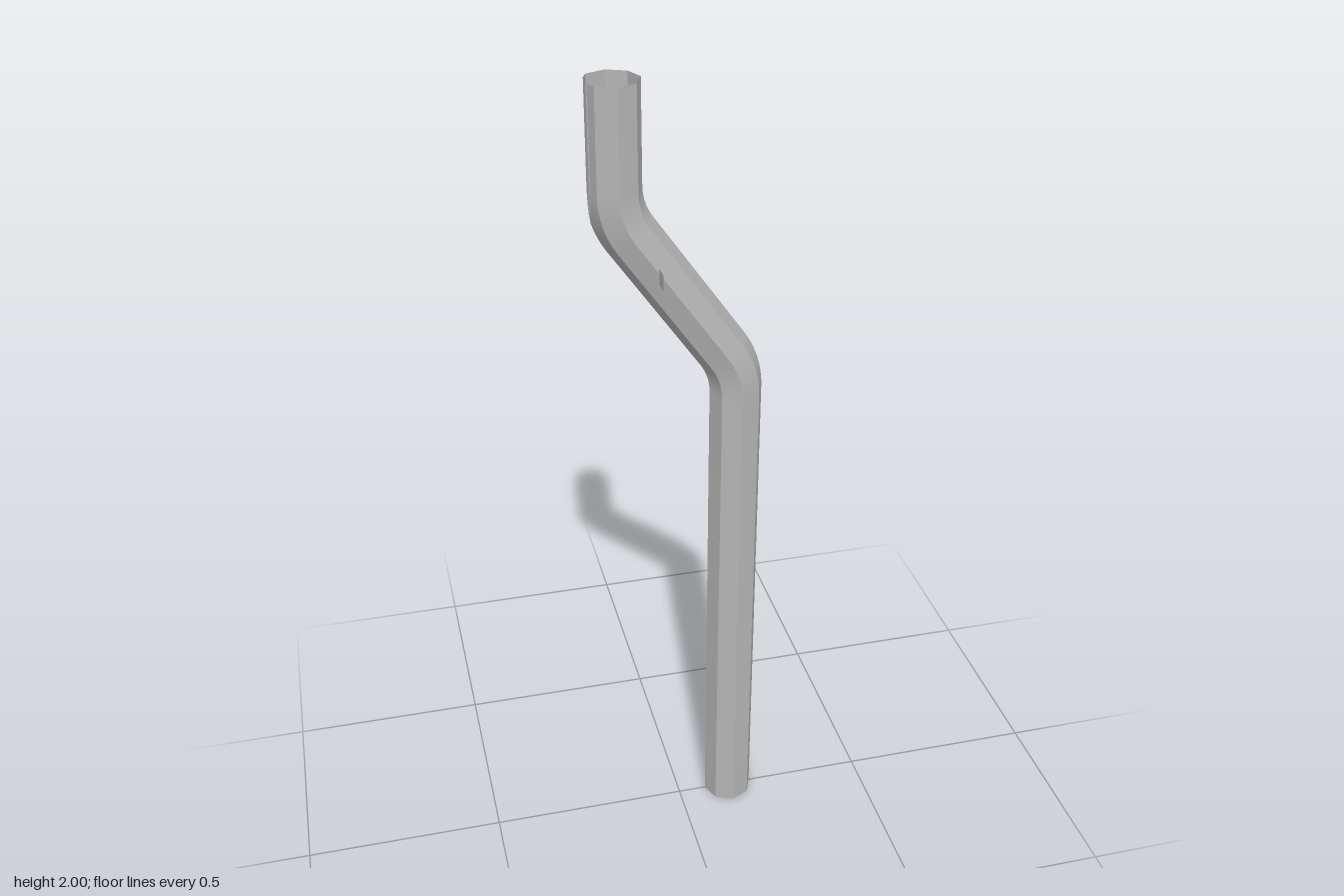
import * as THREE from 'three';
import { toCreasedNormals } from 'three/addons/utils/BufferGeometryUtils.js';

const RADIUS = 0.063;      // octagon corner radius
const BEND = 0.19;         // centre-line bend radius
const ANGLE = THREE.MathUtils.degToRad(35);
const X_LOW = 0.135, X_HIGH = -0.145;
const Y_BEND_START = 1.245;
const X_CUT = -0.199;      // plane that slits the upper left edge
const SIDES = 8, STEPS = 8;

// Centre-line stations: x, y and lean angle
function makePath() {
  const run = (X_LOW - X_HIGH) - 2 * BEND * (1 - Math.cos(ANGLE));
  const yEnd = Y_BEND_START + 2 * BEND * Math.sin(ANGLE) + run / Math.tan(ANGLE);
  const path = [[X_LOW, 0, 0]];
  for (let i = 0; i <= STEPS; i++) {
    const a = ANGLE * i / STEPS;
    path.push([X_LOW - BEND * (1 - Math.cos(a)), Y_BEND_START + BEND * Math.sin(a), a]);
  }
  for (let i = STEPS; i >= 0; i--) {
    const a = ANGLE * i / STEPS;
    path.push([X_HIGH + BEND * (1 - Math.cos(a)), yEnd - BEND * Math.sin(a), a]);
  }
  // extra stations keep the slit's lower end crisp
  path.push([X_HIGH, 2, 0]);
  return path;
}

function corner([x, y, lean], k) {
  const a = k * Math.PI * 2 / SIDES;
  const n = RADIUS * Math.cos(a);
  return new THREE.Vector3(x + n * Math.cos(lean), y + n * Math.sin(lean), RADIUS * Math.sin(a));
}

// Shorten a face edge where it passes the cut plane
function clip(p, inner) {
  return p.x < X_CUT ? p.clone().lerp(inner, (X_CUT - p.x) / (inner.x - p.x)) : p;
}

// Open octagonal pipe wall, one strip per side
function pipeGeometry() {
  const path = makePath();
  const pos = [];
  for (let k = 0; k < SIDES; k++) {
    for (let j = 0; j < path.length - 1; j++) {
      const a = corner(path[j], k), b = corner(path[j + 1], k);
      const c = corner(path[j + 1], k + 1), d = corner(path[j], k + 1);
      const [A, B, C, D] = [clip(a, d), clip(b, c), clip(c, b), clip(d, a)];
      for (const p of [A, B, C, A, C, D]) pos.push(p.x, p.y, p.z);
    }
  }
  const geo = new THREE.BufferGeometry();
  geo.setAttribute('position', new THREE.Float32BufferAttribute(pos, 3));
  return toCreasedNormals(geo, 0.4);
}

export function createModel() {
  const group = new THREE.Group();
  group.name = 'offsetPipe';
  const metal = new THREE.MeshStandardMaterial({ color: 0xb4b4b4, side: THREE.DoubleSide });
  metal.name = 'grey metal';

  const pipe = new THREE.Mesh(pipeGeometry(), metal);
  pipe.name = 'pipe';
  group.add(pipe);

  // Small flat tabs on the front and back of the sloping section
  for (const side of [1, -1]) {
    const tab = new THREE.Mesh(new THREE.PlaneGeometry(0.04, 0.038), metal);
    tab.name = side > 0 ? 'frontTab' : 'backTab';
    tab.rotation.y = Math.PI / 2;
    tab.position.set(-0.06, 1.577, side * 0.08);
    group.add(tab);
  }
  return group;
}
